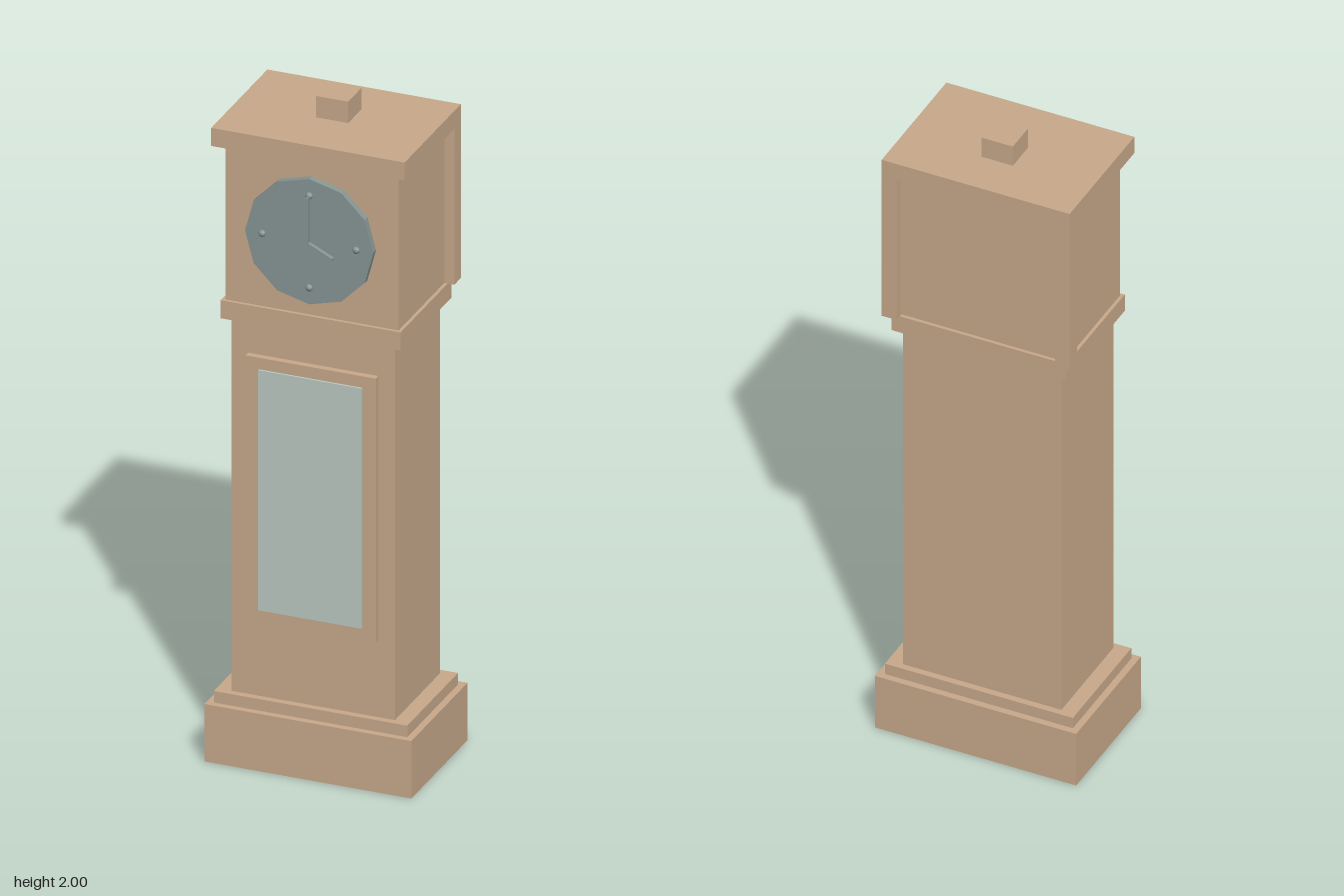
import * as THREE from 'three';

export function createModel() {
  const clock = new THREE.Group();
  clock.name = 'longcaseClock';

  const flat = (name, color) => {
    const m = new THREE.MeshStandardMaterial({ color });
    m.name = name;
    return m;
  };
  const wood = flat('wood', 0xc8a98b);
  const dialGrey = flat('dialGrey', 0x879694);
  const glass = flat('paleGlass', 0xbcc9c1);

  const add = (name, geometry, material, x, y, z, parent = clock) => {
    const mesh = new THREE.Mesh(geometry, material);
    mesh.name = name;
    mesh.position.set(x, y, z);
    parent.add(mesh);
    return mesh;
  };
  // Box given by its extents on each axis
  const block = (name, material, [x0, x1], [y0, y1], [z0, z1], parent) =>
    add(name, new THREE.BoxGeometry(x1 - x0, y1 - y0, z1 - z0), material,
      (x0 + x1) / 2, (y0 + y1) / 2, (z0 + z1) / 2, parent);

  // Case, from the floor up: name, half width, bottom, top, back, front
  const tiers = [
    ['base', 0.308, 0, 0.175, -0.207, 0.196],
    ['baseMoulding', 0.288, 0.175, 0.21, -0.187, 0.177],
    ['trunk', 0.243, 0.21, 1.35, -0.167, 0.157],
    ['collar', 0.268, 1.35, 1.405, -0.187, 0.177],
    ['hood', 0.258, 1.405, 1.88, -0.177, 0.167],
    ['cornice', 0.288, 1.88, 1.935, -0.207, 0.196],
  ];
  for (const [name, w, y0, y1, z0, z1] of tiers) {
    block(name, wood, [-w, w], [y0, y1], [z0, z1]);
  }
  block('finial', wood, [-0.048, 0.048], [1.935, 2], [-0.073, 0.023]);

  // Square posts at the back corners of the hood
  for (const side of [-1, 1]) {
    const xs = [side * 0.288, side * 0.243].sort((a, b) => a - b);
    block(side > 0 ? 'leftPost' : 'rightPost', wood, xs, [1.405, 1.88], [-0.207, -0.161]);
  }

  // Trunk door with its pane
  block('door', wood, [-0.194, 0.194], [0.445, 1.25], [0.157, 0.176]);
  block('doorPane', glass, [-0.154, 0.154], [0.483, 1.215], [0.175, 0.182]);

  // Dial: twelve-sided disc, a corner pointing straight up
  const dial = new THREE.Group();
  dial.name = 'dial';
  dial.position.set(0, 1.637, 0);
  clock.add(dial);
  const disc = new THREE.CylinderGeometry(0.191, 0.191, 0.02, 12).toNonIndexed();
  disc.rotateX(Math.PI / 2);
  disc.computeVertexNormals();
  add('dialPlate', disc, dialGrey, 0, 0, 0.177, dial);

  // Quarter-hour studs
  const stud = new THREE.SphereGeometry(0.011, 8, 6);
  for (let i = 0; i < 4; i++) {
    const a = (i * Math.PI) / 2;
    add('hourStud', stud, dialGrey, 0.14 * Math.sin(a), 0.14 * Math.cos(a), 0.186, dial);
  }

  // Hands, turned clockwise from twelve
  const hand = (name, length, angle) => {
    const g = new THREE.BoxGeometry(0.008, length, 0.012);
    g.translate(0, length / 2 - 0.003, 0);
    add(name, g, dialGrey, 0, 0, 0.198, dial).rotation.z = -angle;
  };
  hand('minuteHand', 0.142, 0);
  hand('hourHand', 0.086, 2.02);

  return clock;
}
